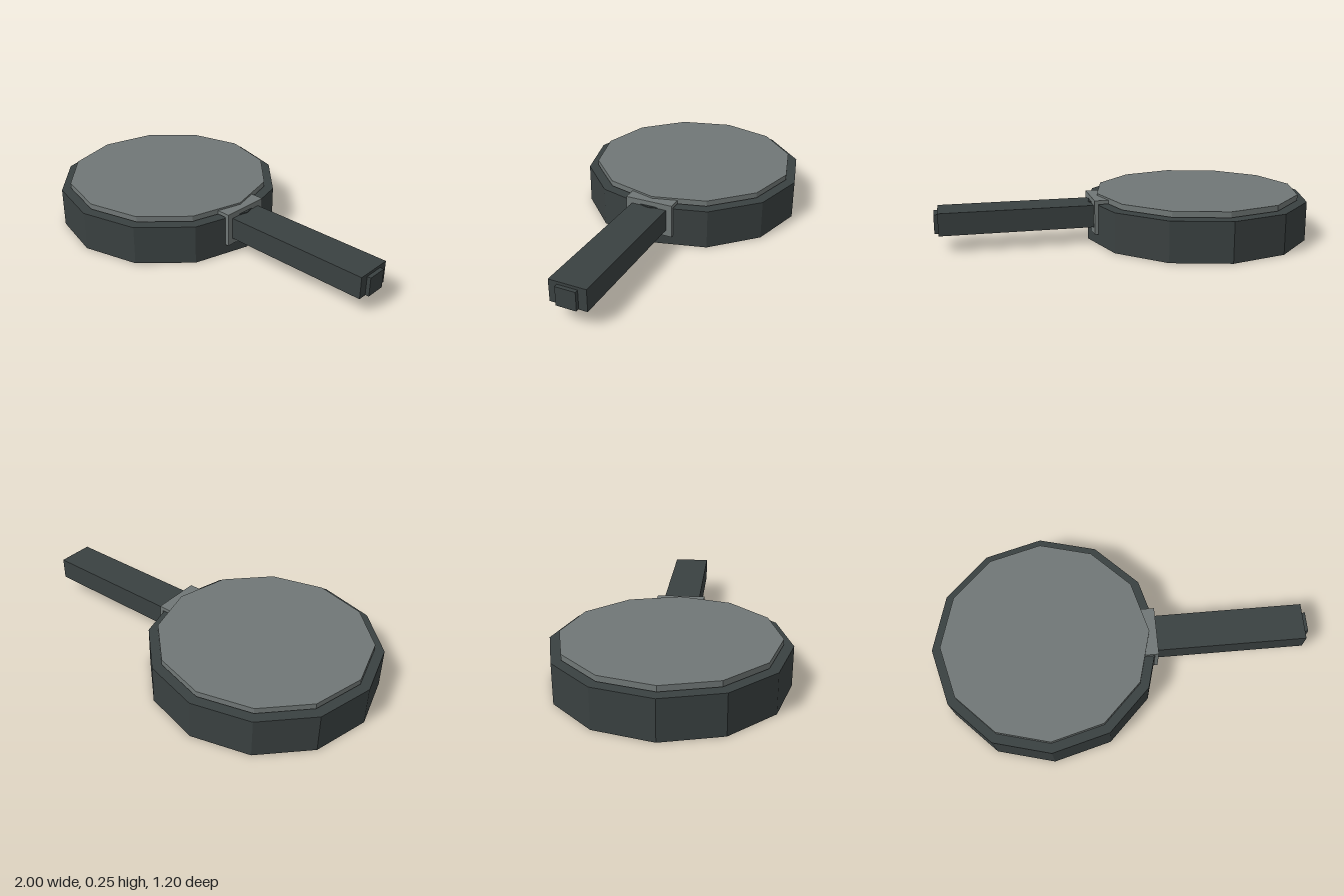
import * as THREE from 'three';

export function createModel() {
  const model = new THREE.Group();
  const dark = new THREE.MeshStandardMaterial({ color: 0x3a4141, flatShading: true });
  dark.name = 'dark iron';
  const light = new THREE.MeshStandardMaterial({ color: 0x707776, flatShading: true });
  light.name = 'grey steel';

  const add = (name, geometry, material) => {
    const mesh = new THREE.Mesh(geometry, material);
    mesh.name = name;
    model.add(mesh);
    return mesh;
  };
  // Twelve-sided disc between two heights, centred on the pan
  const disc = (name, r, y0, y1, material) =>
    add(name, new THREE.CylinderGeometry(r, r, y1 - y0, 12), material)
      .position.set(-0.4, (y0 + y1) / 2, 0);
  // Box given by its limits, symmetric in z
  const block = (name, x0, x1, y0, y1, halfZ, material) =>
    add(name, new THREE.BoxGeometry(x1 - x0, y1 - y0, 2 * halfZ), material)
      .position.set((x0 + x1) / 2, (y0 + y1) / 2, 0);

  // Pan and its slightly raised lid
  disc('panBody', 0.6, 0, 0.21, dark);
  disc('lid', 0.55, 0.216, 0.246, light);

  // Handle, end tab and the tongue running under the lid
  block('handle', 0.185, 0.98, 0.088, 0.205, 0.098, dark);
  block('handleEnd', 0.97, 1, 0.09, 0.19, 0.053, dark);
  block('handleTongue', -0.05, 0.187, 0.11, 0.214, 0.05, dark);

  // Bracket plate: open at the bottom, with a notch above the tongue
  const half = [[0.05, 0.055], [0.13, 0.055], [0.13, 0.236], [-0.13, 0.236],
    [-0.13, 0.055], [-0.05, 0.055], [-0.05, 0.086], [-0.1, 0.086], [-0.1, 0.204],
    [-0.05, 0.204], [-0.05, 0.212], [0.05, 0.212], [0.05, 0.204], [0.1, 0.204],
    [0.1, 0.086], [0.05, 0.086]];
  const outline = new THREE.Shape(half.map(([z, y]) => new THREE.Vector2(z, y)));
  const plate = new THREE.ExtrudeGeometry(outline, { depth: 0.02, bevelEnabled: false });
  plate.rotateY(Math.PI / 2).translate(0.168, 0, 0);
  add('bracketPlate', plate, light);
  // Flange reaching back over the rim
  block('bracketFlange', 0.1, 0.187, 0.216, 0.236, 0.13, light);

  return model;
}
